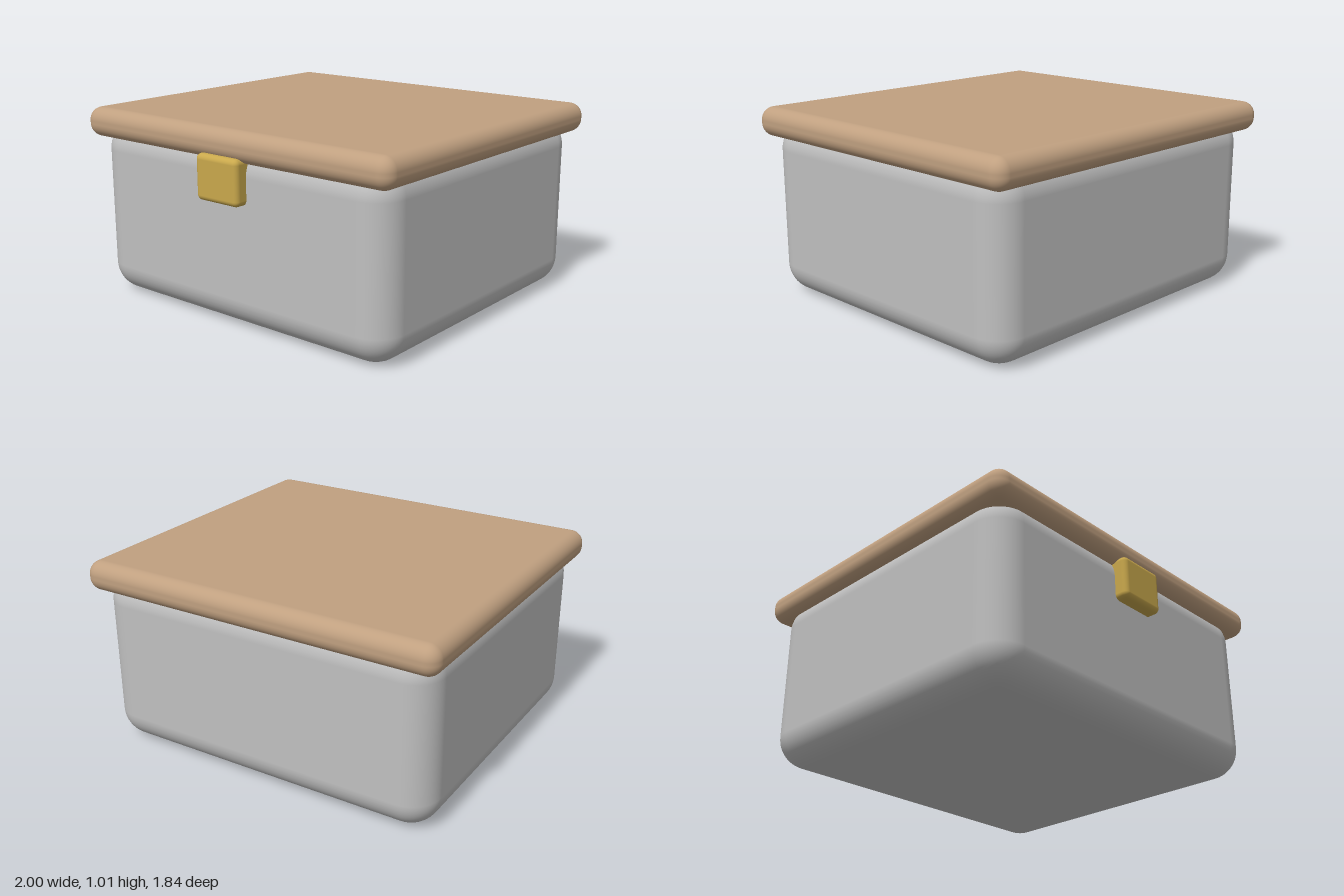
import * as THREE from 'three';
import { RoundedBoxGeometry } from 'three/addons/geometries/RoundedBoxGeometry.js';

function material(name, color) {
  const m = new THREE.MeshStandardMaterial({ color });
  m.name = name;
  return m;
}

// Rounded box given by its lower and upper corners
function roundedBox(name, min, max, radius, mat) {
  const [w, h, d] = max.map((v, i) => v - min[i]);
  const mesh = new THREE.Mesh(new RoundedBoxGeometry(w, h, d, 6, radius), mat);
  mesh.position.set(...max.map((v, i) => (v + min[i]) / 2));
  mesh.name = name;
  return mesh;
}

export function createModel() {
  const group = new THREE.Group();
  group.name = 'lunchBox';

  const steel = material('steel grey', 0xc0c0c0);
  const wood = material('light wood', 0xc0a080);
  const brass = material('brass', 0xc9a84c);

  group.add(
    // container, its rounded top hidden under the lid
    roundedBox('container', [-0.953, 0, -0.87], [0.953, 0.95, 0.85], 0.16, steel),
    // overhanging lid
    roundedBox('lid', [-1, 0.857, -0.918], [1, 1.015, 0.894], 0.07, wood),
    // front latch
    roundedBox('latch', [-0.138, 0.655, 0.81], [0.138, 0.888, 0.918], 0.028, brass)
  );
  return group;
}
